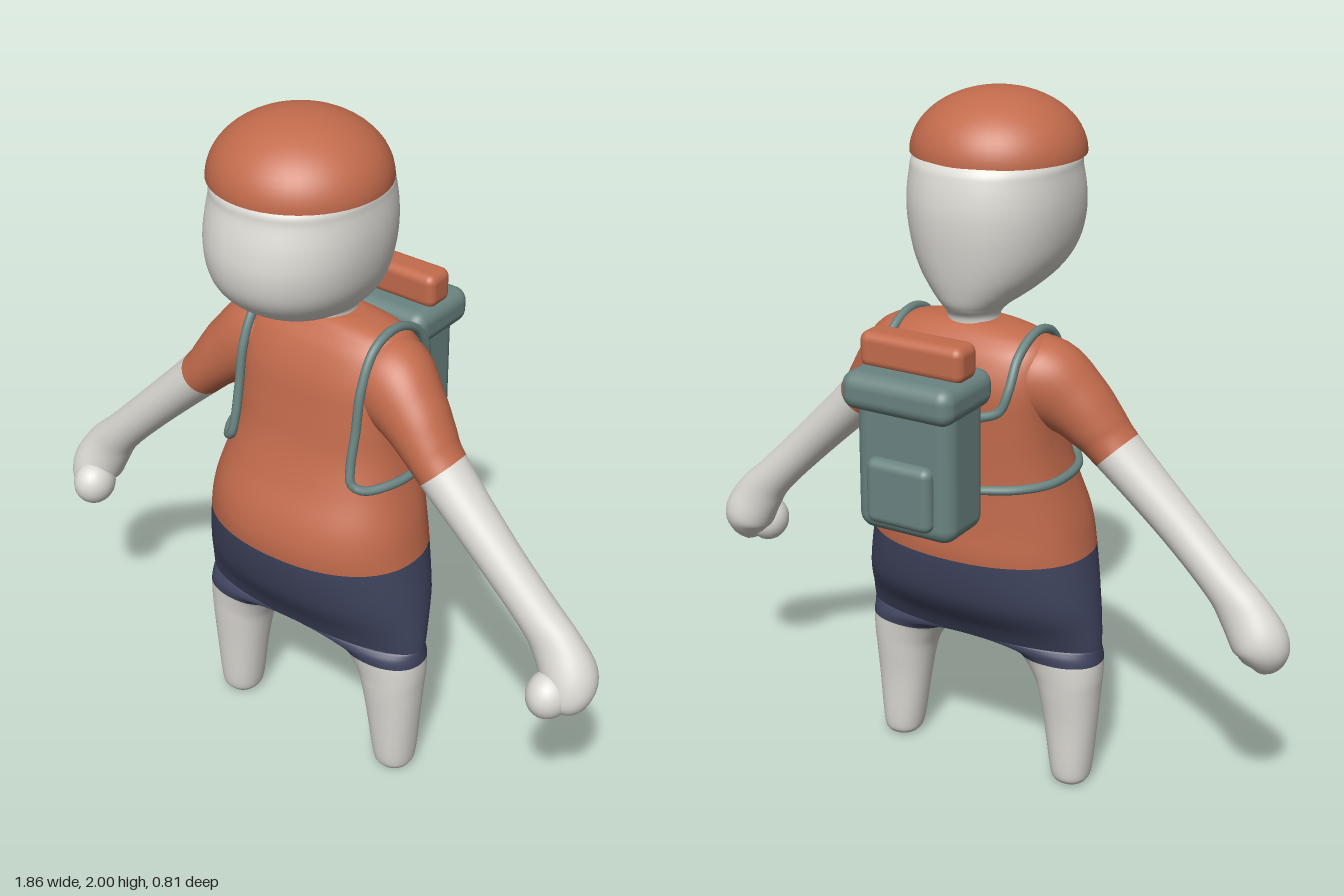
import * as THREE from 'three';
import { RoundedBoxGeometry } from 'three/addons/geometries/RoundedBoxGeometry.js';

const mat = (name, color) => {
  const m = new THREE.MeshStandardMaterial({ color });
  m.name = name;
  return m;
};
const SIDES = 48, STEPS = 5;

// Smoothly resample rows of numbers, STEPS rings per row
function smoothRows(rows) {
  const out = [], at = i => rows[Math.min(rows.length - 1, Math.max(0, i))];
  for (let i = 0; i < rows.length - 1; i++) {
    for (let s = 0; s < STEPS; s++) {
      const t = s / STEPS, [p, a, b, q] = [at(i - 1), at(i), at(i + 1), at(i + 2)];
      out.push(a.map((v, k) => {
        const m0 = (b[k] - p[k]) / 2, m1 = (q[k] - v) / 2, d = b[k] - v;
        return v + t * (m0 + t * (3 * d - 2 * m0 - m1 + t * (m0 + m1 - 2 * d)));
      }));
    }
  }
  out.push(rows[rows.length - 1]);
  return out;
}

// Skin closed rings; side -1 mirrors in x; cutRow is the row where the second material starts
function loft(name, rings, materials, { side = 1, cutRow = 0, capStart = true, capEnd = true } = {}) {
  const pos = [], idx = [], n = rings.length;
  const tri = (a, b, c) => (side > 0 ? idx.push(a, b, c) : idx.push(a, c, b));
  const centre = ring => ring.reduce((s, p) => s.add(p), new THREE.Vector3()).divideScalar(SIDES);
  const all = [...rings.flat(), centre(rings[0]), centre(rings[n - 1])];
  all.forEach(p => pos.push(p.x * side, p.y, p.z));
  let split = 0;
  if (capStart) for (let i = 0; i < SIDES; i++) tri(n * SIDES, i, (i + 1) % SIDES);
  for (let r = 0; r < n - 1; r++) {
    if (r === cutRow * STEPS) split = idx.length;
    for (let i = 0; i < SIDES; i++) {
      const a = r * SIDES + i, b = r * SIDES + (i + 1) % SIDES;
      tri(a, a + SIDES, b);
      tri(b, a + SIDES, b + SIDES);
    }
  }
  const last = (n - 1) * SIDES;
  if (capEnd) for (let i = 0; i < SIDES; i++) tri(n * SIDES + 1, last + (i + 1) % SIDES, last + i);
  const g = new THREE.BufferGeometry();
  g.setAttribute('position', new THREE.Float32BufferAttribute(pos, 3));
  g.setIndex(idx);
  g.computeVertexNormals();
  if (materials.length > 1) {
    g.addGroup(0, split, 0);
    g.addGroup(split, idx.length - split, 1);
  }
  const mesh = new THREE.Mesh(g, materials.length > 1 ? materials : materials[0]);
  mesh.name = name;
  return mesh;
}

// Horizontal rings from rows [y, centreX, innerR, outerR, backZ, frontZ, squareness]
const levelRings = rows => smoothRows(rows).map(([y, cx, ri, ro, zb, zf, e]) =>
  Array.from({ length: SIDES }, (_, i) => {
    const a = i / SIDES * Math.PI * 2, c = Math.cos(a), s = Math.sin(a);
    const pw = v => Math.sign(v) * Math.abs(v) ** (2 / e);
    return new THREE.Vector3(cx + pw(c) * (c > 0 ? ro : ri), y, (zb + zf) / 2 + pw(s) * (zf - zb) / 2);
  }));

// Rings across a limb from rows [x, y, z, radius, radiusZ]
function limbRings(rows) {
  const pts = smoothRows(rows);
  return pts.map(([x, y, z, r, rz], k) => {
    const p = pts[Math.max(0, k - 1)], q = pts[Math.min(pts.length - 1, k + 1)];
    const len = Math.hypot(q[0] - p[0], q[1] - p[1]);
    const ux = (q[1] - p[1]) / len, uy = (p[0] - q[0]) / len;
    return Array.from({ length: SIDES }, (_, i) => {
      const a = i / SIDES * Math.PI * 2, c = Math.cos(a) * r;
      return new THREE.Vector3(x + ux * c, y + uy * c, z + Math.sin(a) * rz);
    });
  });
}

export function createModel() {
  const group = new THREE.Group();
  const skin = mat('pale skin', 0xdcdad4), orange = mat('orange cloth', 0xc26b4c);
  const navy = mat('navy cloth', 0x40455f), teal = mat('teal canvas', 0x6a8481);
  const add = (name, geo, m, x = 0, y = 0, z = 0) => {
    const mesh = new THREE.Mesh(geo, m);
    mesh.name = name;
    mesh.position.set(x, y, z);
    group.add(mesh);
    return mesh;
  };

  // Trunk: shorts below, shirt above
  const trunk = [
    [0.45, 0.374, -0.03, 0.192, 2.2], [0.5, 0.372, -0.06, 0.215, 2.2], [0.6, 0.36, -0.13, 0.268, 2.2],
    [0.74, 0.336, -0.16, 0.3, 2.2], [0.84, 0.318, -0.155, 0.288, 2.3], [0.95, 0.287, -0.15, 0.24, 2.5],
    [1.05, 0.265, -0.15, 0.205, 2.7], [1.15, 0.255, -0.15, 0.186, 3], [1.25, 0.255, -0.15, 0.168, 3],
    [1.33, 0.25, -0.125, 0.135, 2.8], [1.37, 0.225, -0.095, 0.105, 2.5], [1.392, 0.17, -0.07, 0.085, 2.2],
    [1.403, 0.1, -0.05, 0.065, 2],
  ].map(([y, r, ...rest]) => [y, 0, r, r, ...rest]);
  group.add(loft('shirtAndShorts', levelRings(trunk), [navy, orange], { cutRow: 3, capStart: false }));

  // Legs spread into the shorts through a rounded arch
  const leg = [
    [0, 0.29, 0.03, 0.03, 0.05, 0.115], [0.012, 0.29, 0.05, 0.048, 0.03, 0.135],
    [0.05, 0.29, 0.062, 0.057, 0.018, 0.15], [0.2, 0.285, 0.08, 0.075, 0.01, 0.162],
    [0.3, 0.278, 0.093, 0.09, 0, 0.17], [0.35, 0.27, 0.105, 0.103, -0.005, 0.173],
    [0.405, 0.24, 0.115, 0.135, -0.012, 0.18], [0.43, 0.18, 0.095, 0.194, -0.02, 0.187],
    [0.445, 0.08, 0.045, 0.294, -0.026, 0.19], [0.45, 0, 0, 0.374, -0.03, 0.192],
  ].map(row => [...row, 2.2]);

  // Arms: sleeve, forearm and mitten hand
  const arm = [
    [0.1, 1.28, 0.01, 0.09, 0.11], [0.21, 1.25, 0.02, 0.125, 0.12], [0.3, 1.19, 0.045, 0.1, 0.1],
    [0.36, 1.13, 0.06, 0.08, 0.088], [0.415, 1.07, 0.07, 0.068, 0.078], [0.6, 0.89, 0.08, 0.06, 0.063],
    [0.74, 0.75, 0.08, 0.06, 0.06], [0.8, 0.68, 0.08, 0.072, 0.062], [0.85, 0.6, 0.085, 0.078, 0.078],
    [0.86, 0.545, 0.1, 0.06, 0.065], [0.855, 0.51, 0.105, 0.025, 0.03],
  ];

  // Straps: over the shoulder, down the chest and round the side to the pack
  const strap = [
    [0.13, 1.19, -0.18], [0.18, 1.21, -0.165], [0.2, 1.27, -0.148], [0.2, 1.345, -0.1], [0.2, 1.39, 0],
    [0.2, 1.365, 0.09], [0.2, 1.27, 0.145], [0.2, 1.15, 0.168], [0.2, 1.05, 0.19], [0.208, 1.005, 0.197],
    [0.235, 0.986, 0.18], [0.275, 0.985, 0.11], [0.288, 0.985, 0.03], [0.275, 0.985, -0.06],
    [0.22, 0.985, -0.135], [0.13, 0.985, -0.19],
  ];

  for (const side of [1, -1]) {
    const label = side > 0 ? 'left' : 'right';
    group.add(loft(label + 'Leg', levelRings(leg), [skin, navy], { side, cutRow: 6, capEnd: false }));
    group.add(loft(label + 'Arm', limbRings(arm), [orange, skin], { side, cutRow: 4 }));
    add(label + 'Thumb', new THREE.SphereGeometry(1, 24, 16), skin, side * 0.822, 0.562, 0.14)
      .scale.set(0.06, 0.068, 0.068);
    const path = new THREE.CatmullRomCurve3(strap.map(([x, y, z]) => new THREE.Vector3(x * side, y, z)));
    add(label + 'Strap', new THREE.TubeGeometry(path, 90, 0.013, 10), teal);
  }

  // Head and neck, with the face swelling forward
  const head = [
    [1.37, 0.075, -0.06, 0.08], [1.41, 0.07, -0.062, 0.085], [1.435, 0.085, -0.08, 0.135],
    [1.455, 0.11, -0.092, 0.21], [1.485, 0.145, -0.102, 0.285], [1.525, 0.18, -0.112, 0.348],
    [1.58, 0.208, -0.122, 0.39], [1.65, 0.224, -0.13, 0.405], [1.72, 0.228, -0.13, 0.398],
    [1.79, 0.222, -0.118, 0.378], [1.83, 0.214, -0.1, 0.366], [1.9, 0.16, -0.03, 0.29],
  ].map(([y, r, zb, zf]) => [y, 0, r, r, zb, zf, 2.2]);
  group.add(loft('head', levelRings(head), [skin]));

  // Cap: flattened dome with a flat underside
  add('cap', new THREE.SphereGeometry(0.24, 48, 16, 0, Math.PI * 2, 0, Math.PI / 2), orange, 0, 1.83, 0.14)
    .scale.y = 0.17 / 0.24;
  add('capUnderside', new THREE.CircleGeometry(0.24, 48).rotateX(Math.PI / 2), orange, 0, 1.83, 0.14);

  // Backpack with lid, pocket and rolled mat
  const box = (name, w, h, d, r, m, y, z) => add(name, new RoundedBoxGeometry(w, h, d, 5, r), m, 0, y, z);
  box('backpackBody', 0.3, 0.4, 0.19, 0.045, teal, 1.08, -0.27);
  box('backpackLid', 0.34, 0.105, 0.245, 0.04, teal, 1.282, -0.283);
  box('backpackPocket', 0.2, 0.185, 0.06, 0.026, teal, 1.01, -0.364);
  box('matRoll', 0.315, 0.1, 0.096, 0.026, orange, 1.374, -0.277);
  return group;
}
